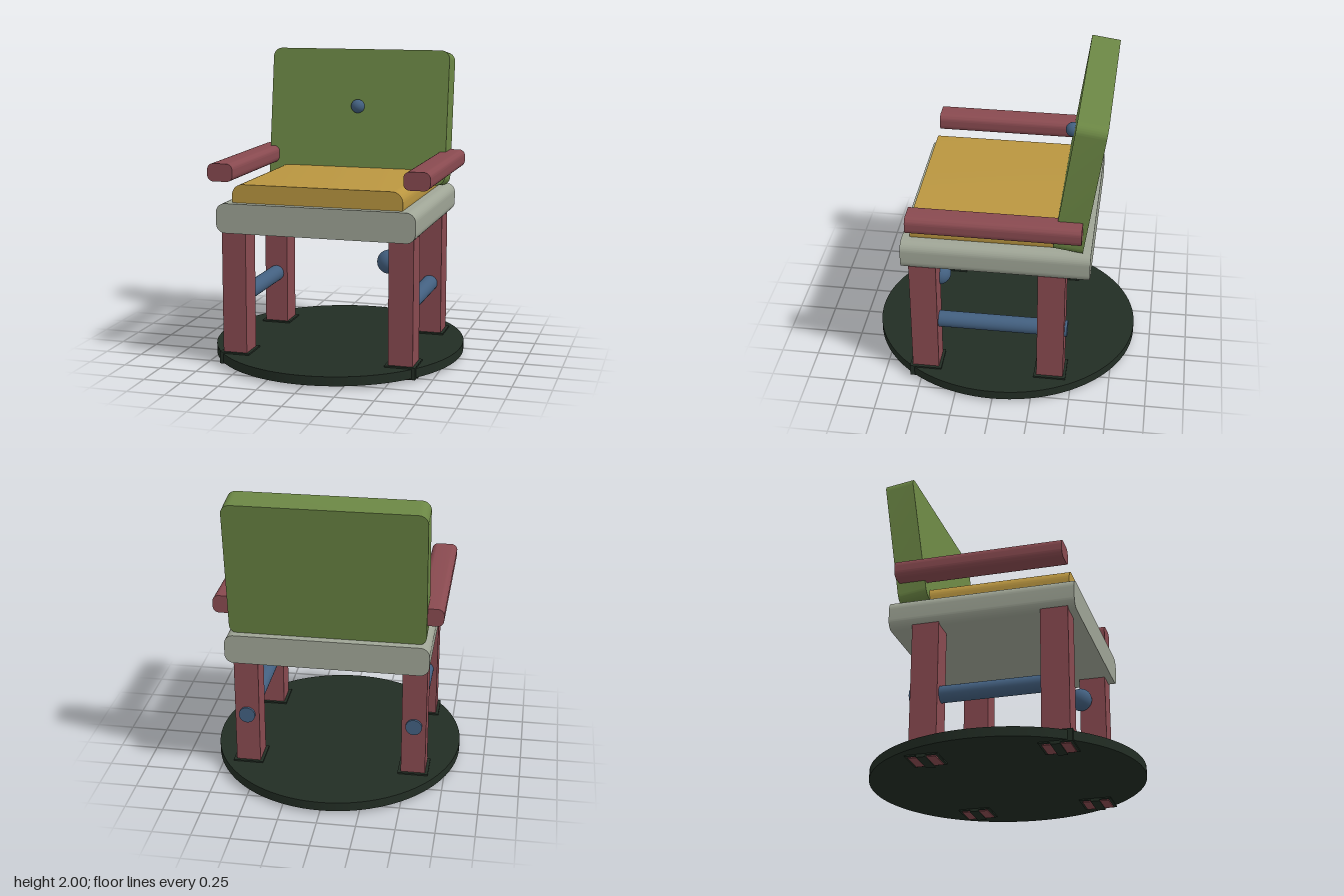
import * as THREE from 'three';
import { toCreasedNormals } from 'three/addons/utils/BufferGeometryUtils.js';

const paint = (name, color) => {
  const m = new THREE.MeshStandardMaterial({ color });
  m.name = name;
  return m;
};

// Rectangle with rounded corners in x/y, extruded along z and centred
function slab(w, h, d, r) {
  const x = w / 2, y = h / 2;
  const s = new THREE.Shape();
  s.moveTo(-x + r, -y);
  s.lineTo(x - r, -y);
  s.absarc(x - r, -y + r, r, -Math.PI / 2, 0);
  s.absarc(x - r, y - r, r, 0, Math.PI / 2);
  s.absarc(-x + r, y - r, r, Math.PI / 2, Math.PI);
  s.absarc(-x + r, -y + r, r, Math.PI, Math.PI * 1.5);
  const g = new THREE.ExtrudeGeometry(s, { depth: d, bevelEnabled: false, curveSegments: 8 });
  g.translate(0, 0, -d / 2);
  return toCreasedNormals(g, 0.5);
}

export function createModel() {
  const model = new THREE.Group();
  model.name = 'armchair';

  const green = paint('backrest green', 0x6b8644);
  const red = paint('wood red', 0x894a50);
  const yellow = paint('cushion yellow', 0xba9640);
  const grey = paint('seat grey', 0x9fa596);
  const blue = paint('metal blue', 0x436080);
  const dark = paint('base dark green', 0x222d24);

  const add = (name, geometry, material, x, y, z) => {
    const mesh = new THREE.Mesh(geometry, material);
    mesh.name = name;
    mesh.position.set(x, y, z);
    model.add(mesh);
    return mesh;
  };

  // Oval floor plate
  const base = add('base', new THREE.CylinderGeometry(1, 1, 0.06, 96), dark, 0, 0.05, 0);
  base.scale.set(0.828, 1, 0.885);

  // Seat and cushion
  add('seat', slab(1.305, 0.192, 1.205, 0.06), grey, 0, 0.982, 0.002);
  add('cushion', slab(1.12, 0.17, 1.05, 0.07), yellow, 0, 1.112, 0.03);

  // Reclined backrest with a button
  const back = add('backrest', slab(1.255, 0.915, 0.19, 0.06), green, 0, 1.537, -0.516);
  back.rotation.x = -0.14;
  add('button', new THREE.SphereGeometry(0.047, 32, 20), blue, 0, 1.615, -0.42);

  for (const side of [-1, 1]) {
    const label = side > 0 ? 'left' : 'right';
    add(label + 'Armrest', slab(0.17, 0.116, 1.095, 0.04), red, side * 0.645, 1.266, 0.002);

    // Legs standing in foot collars
    for (const [end, z] of [['Front', 0.47], ['Back', -0.36]]) {
      add(label + end + 'Leg', new THREE.BoxGeometry(0.16, 0.895, 0.176), red, side * 0.552, 0.4525, z);
      add(label + end + 'Collar', new THREE.BoxGeometry(0.2, 0.078, 0.212), dark, side * 0.552, 0.051, z);
      add(label + end + 'FootStrip', new THREE.BoxGeometry(0.2, 0.012, 0.06), dark, side * 0.552, 0.006, z);
    }

    // Rod between front and back legs, poking out at the rear
    const rod = add(label + 'Stretcher', new THREE.CylinderGeometry(0.054, 0.054, 0.92, 32), blue, side * 0.552, 0.435, -0.005);
    rod.rotation.x = Math.PI / 2;
  }

  // Round knob on the inside of the left front leg
  add('knob', new THREE.SphereGeometry(0.076, 32, 20), blue, 0.435, 0.72, 0.395);

  return model;
}
